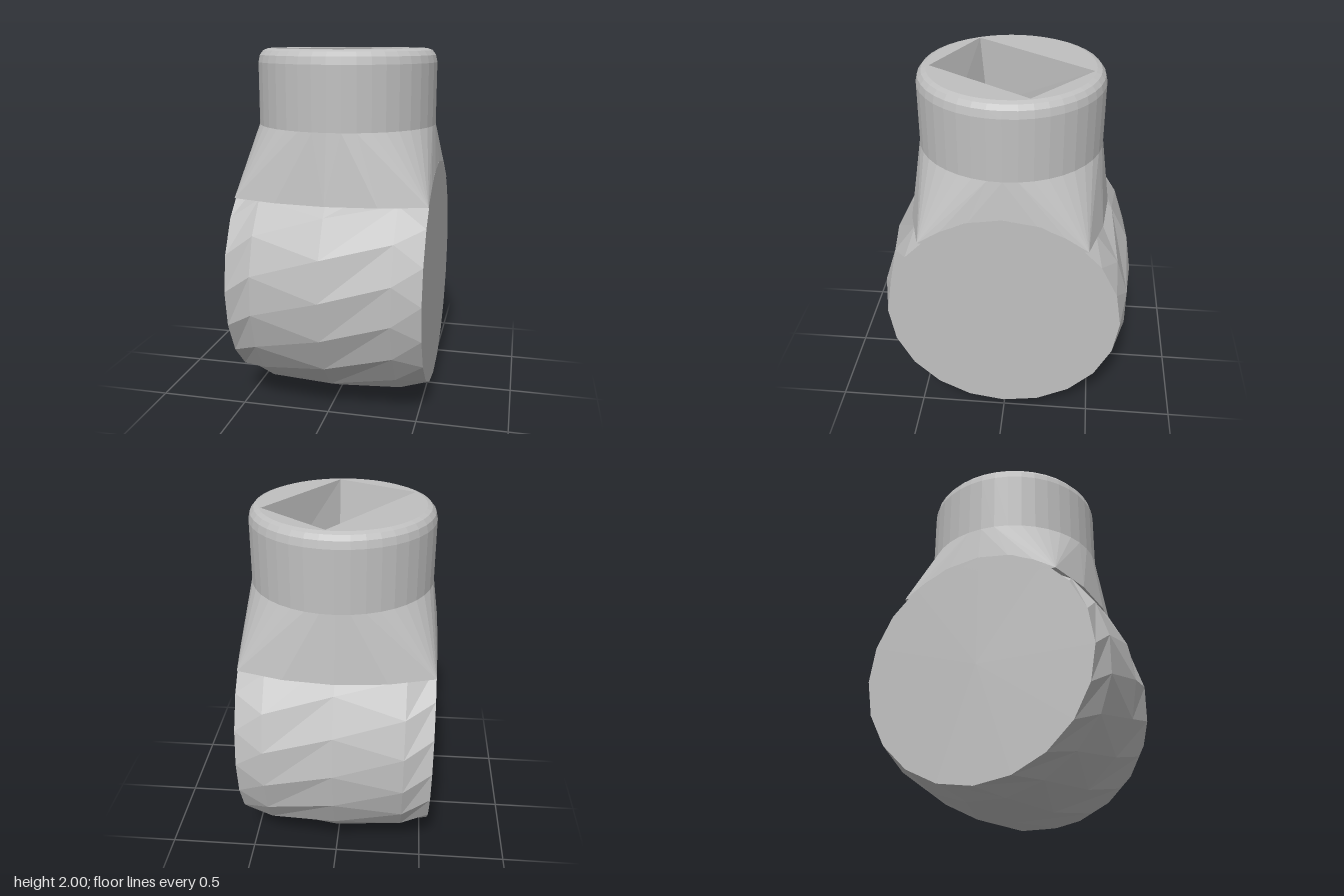
import * as THREE from 'three';
import { ConvexGeometry } from 'three/addons/geometries/ConvexGeometry.js';

const V = (x, y, z) => new THREE.Vector3(x, y, z);

export function createModel() {
  const group = new THREE.Group();
  const grey = new THREE.MeshStandardMaterial({ color: 0xc0c0c0, flatShading: true });
  grey.name = 'plain grey';
  const add = (name, geometry) => {
    const mesh = new THREE.Mesh(geometry, grey);
    mesh.name = name;
    group.add(mesh);
  };

  const half = 0.535, axisY = 0.72, capR = 0.652;
  const collarR = 0.506, collarY = 1.58, topY = 2, rimR = 0.45, sides = 40;

  // Barrel lying along x with flat ends; the rings at +-0.38 are turned half a step for a faceted skin
  const profile = [[0, -half], [capR, -half], [0.694, -0.38], [0.722, 0], [0.694, 0.38], [capR, half], [0, half]];
  const steps = 20;
  const barrel = new THREE.LatheGeometry(profile.map(p => new THREE.Vector2(...p)), steps);
  const pos = barrel.attributes.position, v = V(0, 0, 0), up = V(0, 1, 0);
  for (let i = 0; i < pos.count; i++) {
    v.fromBufferAttribute(pos, i);
    if (Math.abs(Math.abs(v.y) - 0.38) < 0.01) v.applyAxisAngle(up, Math.PI / steps);
    pos.setXYZ(i, v.x, v.y, v.z);
  }
  barrel.rotateZ(Math.PI / 2).translate(0, axisY, 0);
  add('barrel', barrel);

  // Shoulder: hull from the bowed seam on the barrel up to the round collar
  const points = [];
  for (const sx of [-1, 1]) {
    for (const sz of [-1, 1]) {
      for (const [x, z] of [[0, 0.558], [0.28, 0.53], [half, 0.455]]) points.push(V(sx * x, 1.2, sz * z));
      for (const [y, z] of [[1.28, 0.33], [1.345, 0.18]]) points.push(V(sx * half, y, sz * z));
    }
    points.push(V(sx * half, 1.37, 0));
  }
  for (let i = 0; i < sides; i++) {
    const a = i / sides * Math.PI * 2;
    points.push(V(Math.sin(a) * collarR, collarY, Math.cos(a) * collarR));
  }
  add('shoulder', new ConvexGeometry(points));

  // Collar with a rounded rim
  const collar = [[collarR, collarY], [collarR, 1.925], [0.497, 1.965], [0.477, 1.99], [rimR, topY]];
  add('collar', new THREE.LatheGeometry(collar.map(p => new THREE.Vector2(...p)), sides));

  // Top face pierced by a four-sided opening
  const mouth = [[0.05, -0.438], [0.42, -0.13], [0.05, 0.43], [-0.385, 0.215]];
  const floor = [[0.02, -0.395], [0.35, -0.05], [0.05, 0.355], [-0.35, 0.175]];
  const disc = new THREE.Shape().absarc(0, 0, rimR, 0, Math.PI * 2, false);
  disc.holes.push(new THREE.Path(mouth.map(([x, z]) => new THREE.Vector2(x, -z))));
  add('topFace', new THREE.ShapeGeometry(disc, sides).rotateX(-Math.PI / 2).translate(0, topY, 0));

  // Tapered socket walls and floor
  const floorY = 1.6, tri = [];
  const top = mouth.map(([x, z]) => V(x, topY, z));
  const low = floor.map(([x, z]) => V(x, floorY, z));
  for (let i = 0; i < 4; i++) {
    const j = (i + 1) % 4;
    tri.push(low[i], low[j], top[j], low[i], top[j], top[i]);
  }
  tri.push(low[0], low[3], low[2], low[0], low[2], low[1]);
  const socket = new THREE.BufferGeometry().setFromPoints(tri);
  socket.computeVertexNormals();
  add('socket', socket);

  return group;
}
